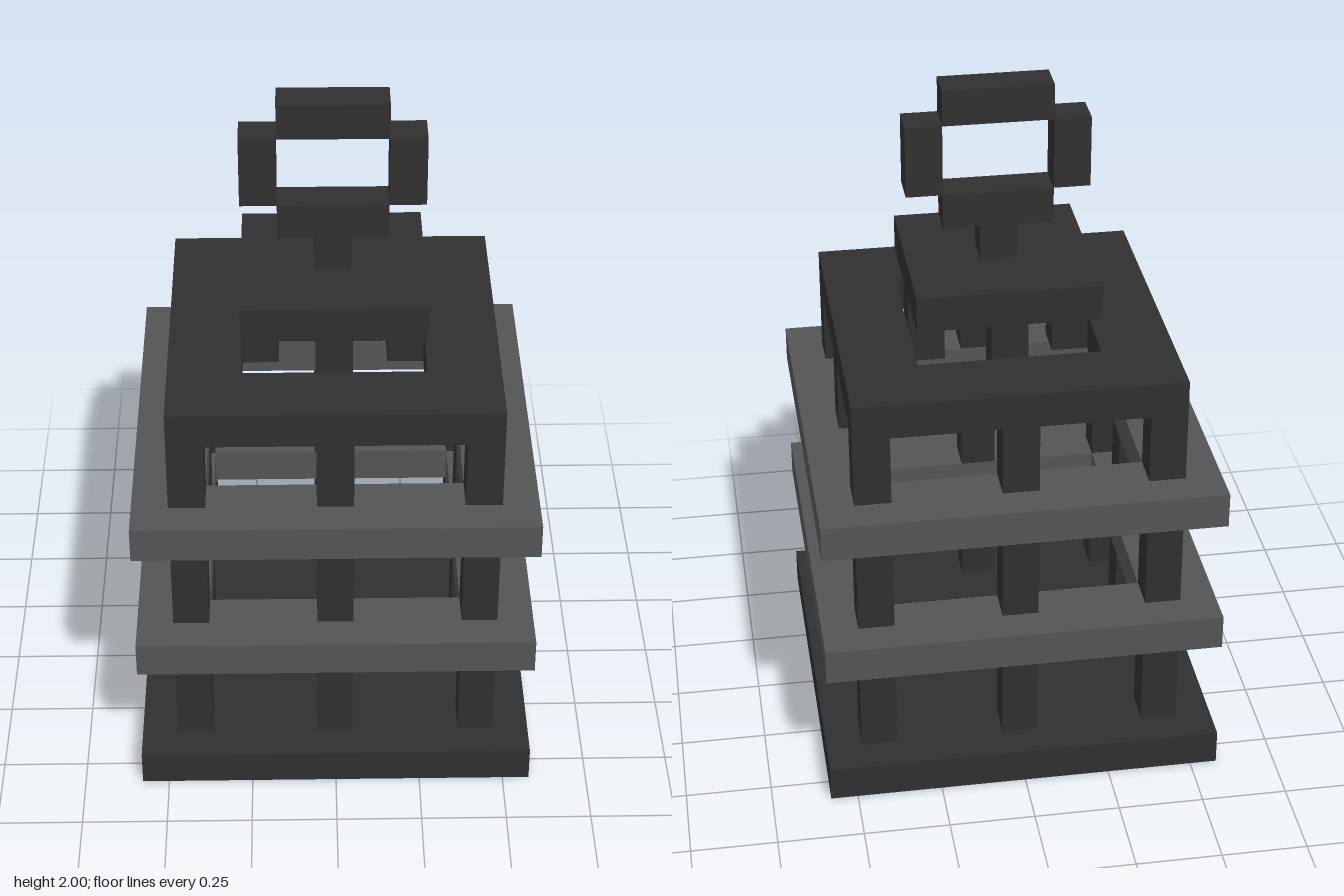
import * as THREE from 'three';

const U = 2 / 19; // one block

export function createModel() {
  const model = new THREE.Group();
  model.name = 'lantern';
  const darkIron = new THREE.MeshStandardMaterial({ color: 0x2f2f2f });
  const greyIron = new THREE.MeshStandardMaterial({ color: 0x545454 });
  darkIron.name = 'dark iron';
  greyIron.name = 'grey iron';

  const add = (name, geometry, material, x, y, z) => {
    const mesh = new THREE.Mesh(geometry, material);
    mesh.name = name;
    mesh.position.set(x * U, y * U, z * U);
    model.add(mesh);
  };

  // Box centred on x and z, standing on height y, measured in blocks
  const box = (name, w, h, d, x, y, z) =>
    add(name, new THREE.BoxGeometry(w * U, h * U, d * U), darkIron, x, y + h / 2, z);

  // Flat square frame, one block thick, with a square hole
  const squarePath = (path, r) => path.moveTo(-r, -r).lineTo(r, -r).lineTo(r, r).lineTo(-r, r).closePath();
  const frame = (name, outer, inner, y, material) => {
    const shape = squarePath(new THREE.Shape(), outer * U);
    shape.holes.push(squarePath(new THREE.Path(), inner * U));
    const geometry = new THREE.ExtrudeGeometry(shape, { depth: U, bevelEnabled: false });
    geometry.rotateX(-Math.PI / 2);
    add(name, geometry, material, 0, y, 0);
  };

  // Base and cage posts at the corners and the middle of each side
  box('base', 11, 1, 11, 0, 0, 0);
  for (const x of [-4, 0, 4]) {
    for (const z of [-4, 0, 4]) {
      if (x === 0 && z === 0) continue;
      for (const [y, h] of [[1, 3], [5, 3], [9, 2]]) box('cagePost', 1, h, 1, x, y, z);
    }
  }

  // Two grey bands and the roof frame
  frame('lowerBand', 5.5, 3.5, 4, greyIron);
  frame('upperBand', 5.5, 3.5, 8, greyIron);
  frame('roofFrame', 4.5, 2.5, 11, darkIron);

  // Raised cap on four short posts
  for (const s of [-2, 2]) {
    box('capPost', 1, 2, 1, s, 11, 0);
    box('capPost', 1, 2, 1, 0, 11, s);
  }
  box('cap', 5, 1, 5, 0, 13, 0);

  // Hanging ring
  box('ringStem', 1, 1, 1, 0, 14, 0);
  box('ringBottom', 3, 1, 1, 0, 15, 0);
  for (const s of [-2, 2]) box('ringSide', 1, 2, 1, s, 16, 0);
  box('ringTop', 3, 1, 1, 0, 18, 0);

  return model;
}
